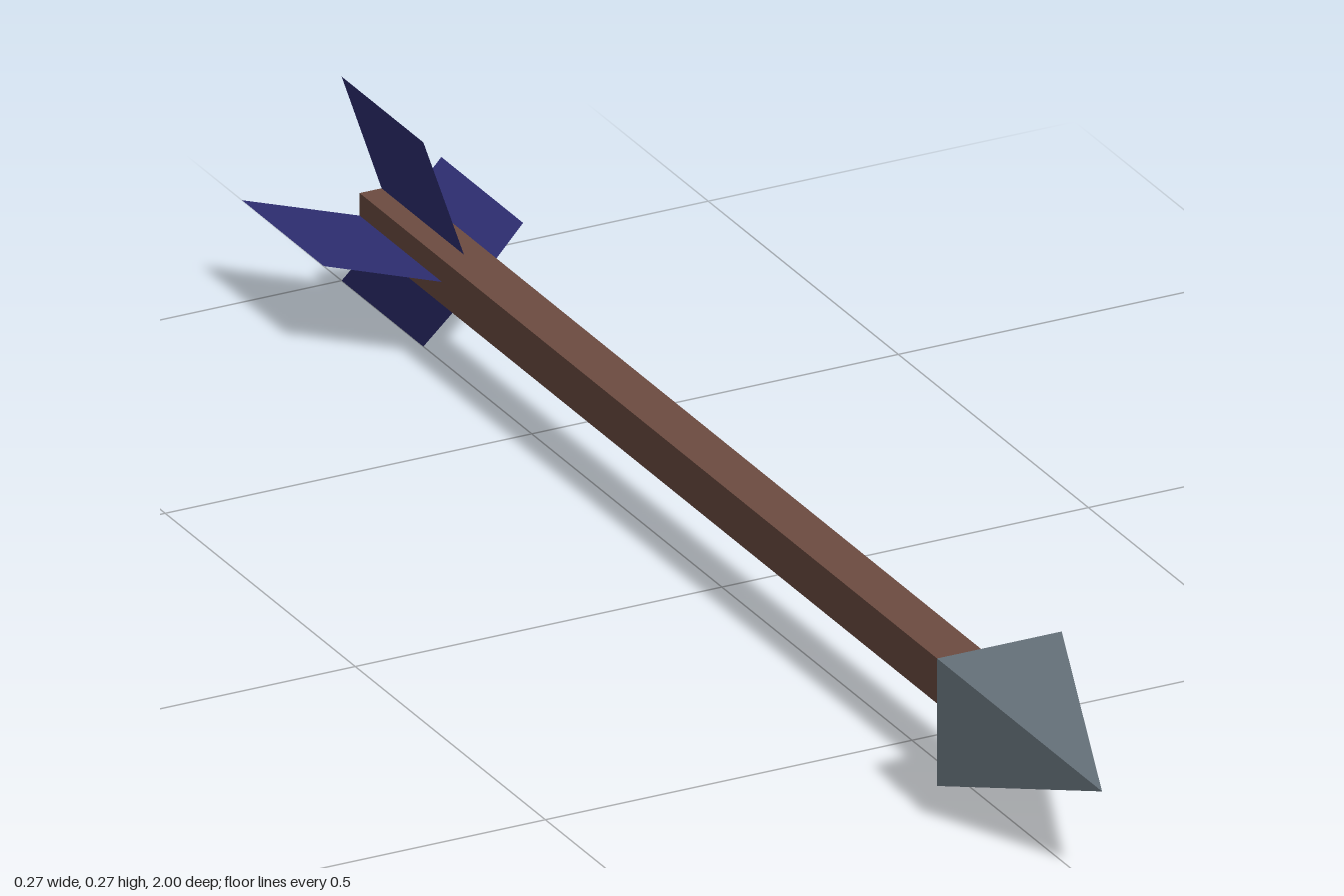
import * as THREE from 'three';

const AXIS_Y = 0.136;

// Four-sided turned solid along z; profile holds [half width, z] pairs from back to front
function squareTurned(profile) {
  const points = profile.map(([half, z]) => new THREE.Vector2(half * Math.SQRT2, z));
  const geometry = new THREE.LatheGeometry(points, 4, Math.PI / 4).rotateX(Math.PI / 2).toNonIndexed();
  geometry.computeVertexNormals();
  return geometry;
}

export function createModel() {
  const wood = new THREE.MeshStandardMaterial({ color: 0x6d4c41 });
  wood.name = 'brown wood';
  const steel = new THREE.MeshStandardMaterial({ color: 0x606b73 });
  steel.name = 'grey steel';
  const feather = new THREE.MeshStandardMaterial({ color: 0x2d2d70, side: THREE.DoubleSide });
  feather.name = 'dark blue feather';

  const arrow = new THREE.Group();
  arrow.name = 'arrow';
  const add = (name, geometry, material) => {
    const mesh = new THREE.Mesh(geometry, material);
    mesh.name = name;
    mesh.position.y = AXIS_Y;
    arrow.add(mesh);
    return mesh;
  };

  // Square shaft with a hollow pyramid nock at the back
  add('shaft', squareTurned([[0, -0.865], [0.03, -0.895], [0.03, 0.677]]), wood);

  // Pointed head with a short tapered collar
  add('head', squareTurned([[0.03, 0.675], [0.085, 0.73], [0, 1]]), steel);

  // Four swept vanes, each a flat parallelogram starting on the axis
  const vane = new THREE.Shape([
    new THREE.Vector2(0, 0.865),
    new THREE.Vector2(0, 0.648),
    new THREE.Vector2(0.136, 0.785),
    new THREE.Vector2(0.136, 1),
  ]);
  const vaneGeometry = new THREE.ShapeGeometry(vane).rotateX(-Math.PI / 2);
  ['left', 'top', 'right', 'bottom'].forEach((side, i) => {
    add(side + 'Vane', vaneGeometry, feather).rotation.z = (i * Math.PI) / 2;
  });

  return arrow;
}
